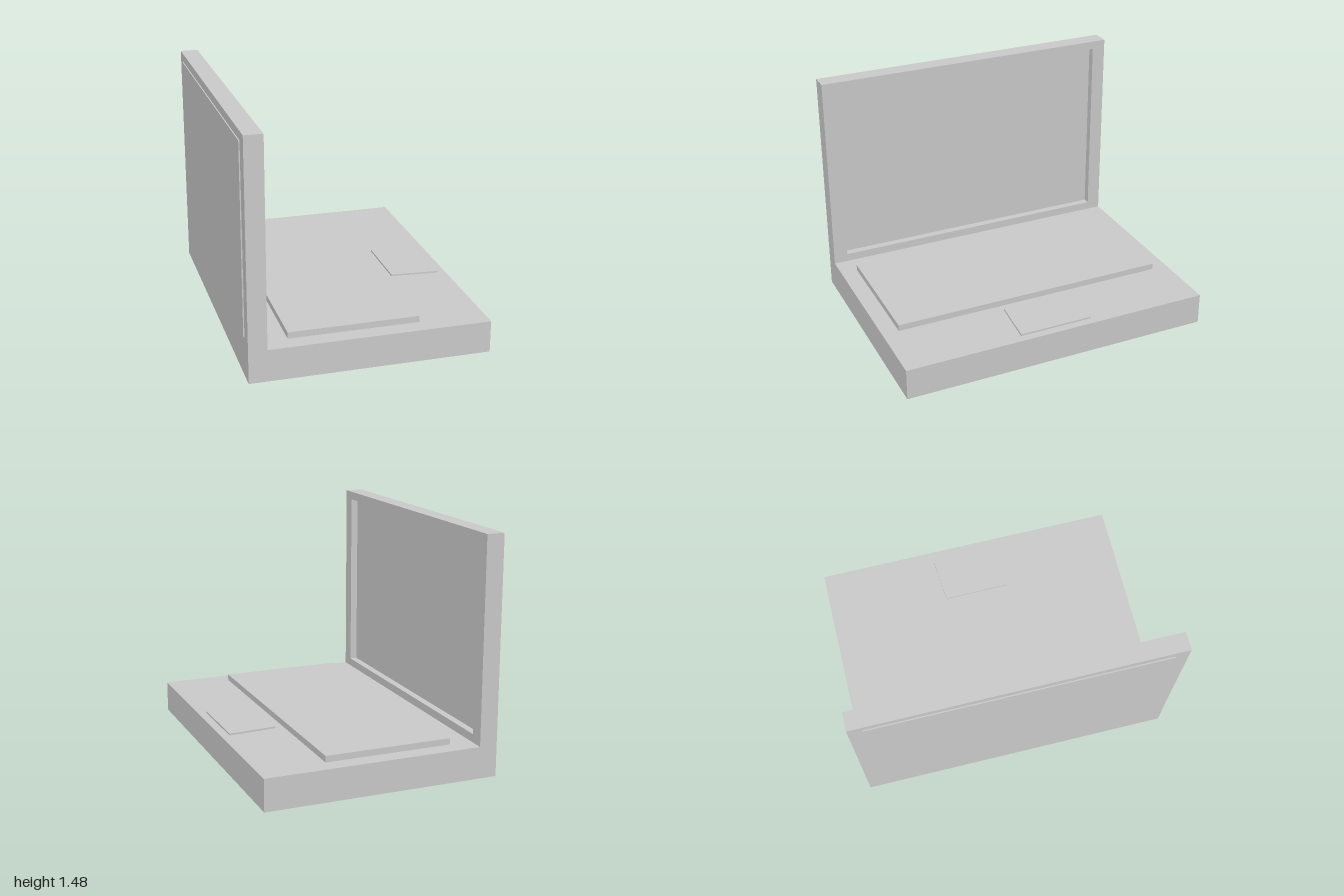
import * as THREE from 'three';

const material = new THREE.MeshStandardMaterial({ color: 0xcccccc, flatShading: true });

function addMesh(group, name, geometry) {
  const mesh = new THREE.Mesh(geometry, material);
  mesh.name = name;
  group.add(mesh);
}

// Box given by its lower and upper corners
function boxBetween([x0, y0, z0], [x1, y1, z1]) {
  return new THREE.BoxGeometry(x1 - x0, y1 - y0, z1 - z0)
    .translate((x0 + x1) / 2, (y0 + y1) / 2, (z0 + z1) / 2);
}

const polygon = (pairs) => pairs.map(([a, b]) => new THREE.Vector2(a, b));

const rectangle = (halfWidth, bottom, top) => polygon([
  [-halfWidth, bottom], [halfWidth, bottom], [halfWidth, top], [-halfWidth, top],
]);

export function createModel() {
  const model = new THREE.Group();
  model.name = 'laptop';

  const lidBack = -0.735, lidFront = -0.622, baseTop = 0.2;

  // Thick base slab
  addMesh(model, 'base', boxBetween([lidBack, 0, -1], [0.742, baseTop, 1]));

  // Upright lid: a frame with a window, opening towards +x
  const frame = new THREE.Shape(rectangle(1, baseTop, 1.48));
  frame.holes.push(new THREE.Path(rectangle(0.912, 0.252, 1.426)));
  addMesh(model, 'lidFrame',
    new THREE.ExtrudeGeometry(frame, { depth: lidFront - lidBack, bevelEnabled: false })
      .rotateY(Math.PI / 2).translate(lidBack, 0, 0));

  // Screen panel, recessed in front and slightly proud at the back
  addMesh(model, 'screen', boxBetween([-0.742, 0.252, -0.912], [-0.669, 1.426, 0.912]));

  // Raised keyboard block
  addMesh(model, 'keyboard', boxBetween([-0.478, baseTop, -0.893], [0.328, 0.24, 0.893]));

  // Thin tapered touchpad
  const pad = new THREE.Shape(polygon([
    [0.382, -0.213], [0.69, -0.239], [0.69, 0.239], [0.382, 0.213],
  ]));
  addMesh(model, 'touchpad',
    new THREE.ExtrudeGeometry(pad, { depth: 0.011, bevelEnabled: false })
      .rotateX(-Math.PI / 2).translate(0, baseTop, 0));

  return model;
}
